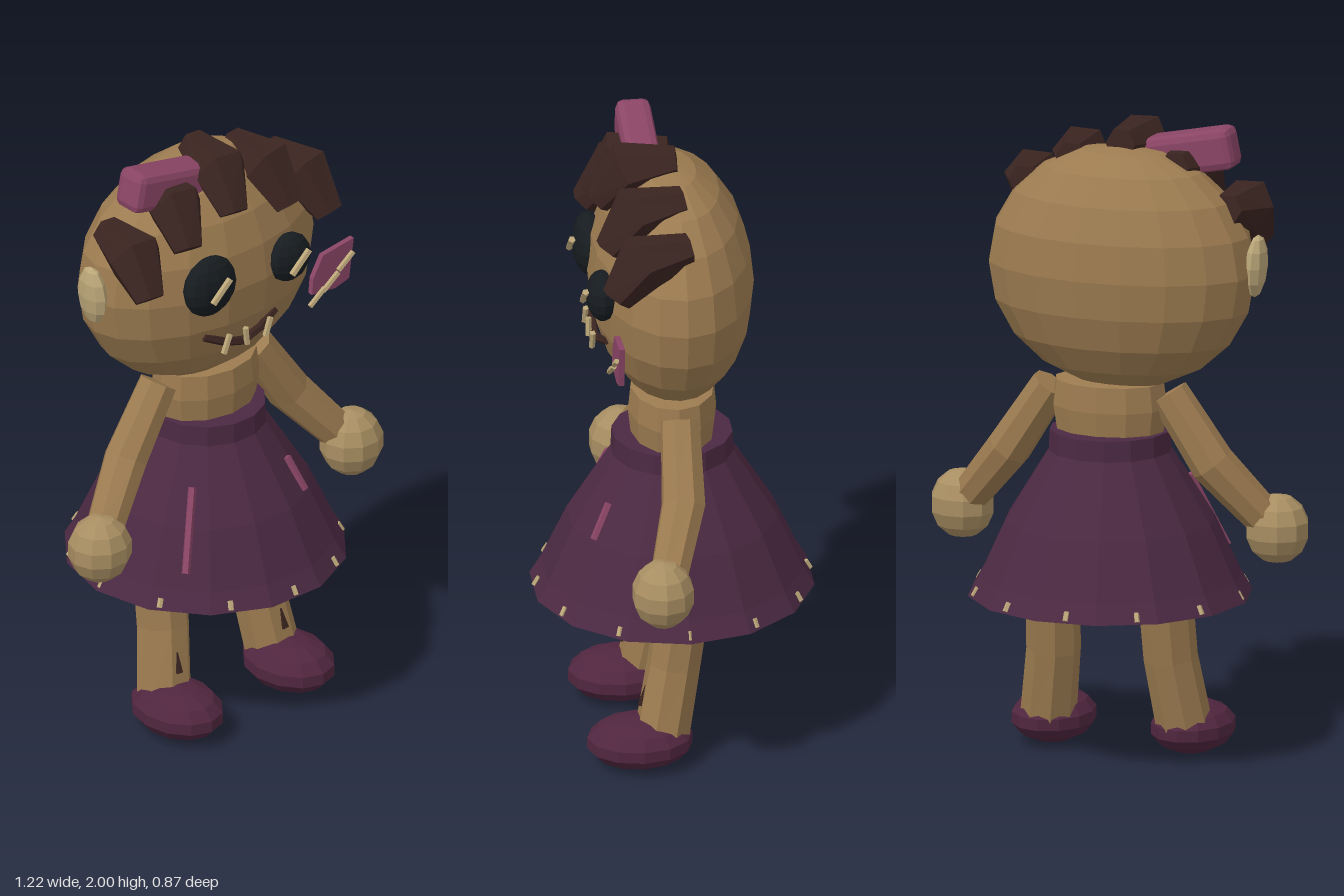
import * as THREE from 'three';
import { RoundedBoxGeometry } from 'three/addons/geometries/RoundedBoxGeometry.js';

const mat = (color) => new THREE.MeshStandardMaterial({ color, flatShading: true });
const V = (p) => new THREE.Vector3(...p);

// Closed tube through points, with one radius per point
function limbGeometry(points, radii, sides, ref = [0, 0, 1]) {
  const c = points.map(V), pos = [], idx = [], n = c.length;
  c.forEach((p, i) => {
    const t = c[Math.min(i + 1, n - 1)].clone().sub(c[Math.max(i - 1, 0)]).normalize();
    const u = V(ref).cross(t).normalize(), v = t.clone().cross(u);
    for (let j = 0; j < sides; j++) {
      const a = ((j + 0.5) / sides) * Math.PI * 2;
      const q = p.clone().addScaledVector(u, radii[i] * Math.cos(a)).addScaledVector(v, radii[i] * Math.sin(a));
      pos.push(q.x, q.y, q.z);
    }
  });
  for (let j = 0; j < sides; j++) {
    const k = (j + 1) % sides;
    for (let i = 0; i < n - 1; i++) {
      const a = i * sides + j, b = i * sides + k;
      idx.push(a, b, b + sides, a, b + sides, a + sides);
    }
    const s = n * sides, e = (n - 1) * sides;
    idx.push(s, k, j, s + 1, e + j, e + k);
  }
  pos.push(...c[0].toArray(), ...c[n - 1].toArray());
  const g = new THREE.BufferGeometry();
  g.setAttribute('position', new THREE.Float32BufferAttribute(pos, 3));
  g.setIndex(idx);
  g.computeVertexNormals();
  return g;
}

export function createModel() {
  const doll = new THREE.Group();
  doll.name = 'ragDoll';
  const skin = mat(0x9c7b50), pale = mat(0xa88e62), cream = mat(0xbba678);
  const dress = mat(0x4b2942), shoe = mat(0x50263f), hair = mat(0x3a2420);
  const pink = mat(0x8a4565), black = mat(0x171c20);

  const add = (name, geometry, material, position = [0, 0, 0]) => {
    const m = new THREE.Mesh(geometry, material);
    m.name = name;
    m.position.set(...position);
    doll.add(m);
    return m;
  };
  const ball = (name, material, center, radii, w = 12, h = 8) =>
    add(name, new THREE.SphereGeometry(1, w, h).scale(...radii), material, center);
  const rod = (name, material, a, b, r) => add(name, limbGeometry([a, b], [r, r], 5), material);

  // Head and neck
  ball('head', skin, [-0.04, 1.552, 0], [0.43, 0.383, 0.253], 18, 10);
  const neck = [[0, 0.98], [0.165, 0.98], [0.185, 1.11], [0.175, 1.19], [0, 1.2]].map((p) => new THREE.Vector2(...p));
  add('neck', new THREE.LatheGeometry(neck, 12).scale(1, 1, 0.74), skin);
  ball('earPatch', cream, [-0.47, 1.58, 0.015], [0.033, 0.1, 0.06], 8, 6).rotation.z = 0.06;

  // Button eyes, each with a slanted thread
  for (const [x, y, r] of [[-0.185, 1.6, 0.1], [0.135, 1.585, 0.08]]) {
    ball('buttonEye', black, [x, y, 0.235], [r, r, 0.05], 12, 8);
    rod('eyeThread', cream, [x - 0.033, y - 0.03, 0.29], [x + 0.036, y + 0.034, 0.29], 0.011);
  }

  // Stitched mouth
  add('mouth', limbGeometry([[-0.19, 1.41, 0.215], [-0.12, 1.378, 0.235], [-0.05, 1.357, 0.235],
    [0.02, 1.378, 0.235], [0.095, 1.405, 0.215]], [0.013, 0.014, 0.015, 0.014, 0.013], 5), hair);
  for (const [x, tilt] of [[-0.13, 0.012], [-0.05, -0.003], [0.037, 0.01]])
    rod('mouthStitch', cream, [x - tilt, 1.352, 0.252], [x + tilt, 1.41, 0.252], 0.01);

  // Cheek patch with loose stitches
  const patch = new THREE.Shape([[0.25, 1.455], [0.245, 1.4], [0.34, 1.39], [0.395, 1.405], [0.414, 1.54], [0.29, 1.523]]
    .map((p) => new THREE.Vector2(...p)));
  add('cheekPatch', new THREE.ExtrudeGeometry(patch, { depth: 0.018, bevelEnabled: false }), pink, [0, 0, 0.2]);
  for (const [x, y] of [[0.26, 1.39], [0.315, 1.425], [0.375, 1.475]])
    rod('cheekStitch', cream, [x - 0.03, y - 0.022, 0.225], [x + 0.03, y + 0.022, 0.225], 0.009);

  // Chunky fringe: root x, tip x and top height of each tuft
  for (const [x0, x1, top] of [[-0.385, -0.41, 1.82], [-0.215, -0.255, 1.94], [-0.04, -0.07, 2.0], [0.12, 0.155, 1.945], [0.27, 0.315, 1.86]])
    add('hairTuft', limbGeometry([[x0, top - 0.06, -0.02], [(x0 + x1) / 2, top - 0.082, 0.13], [x1, top - 0.195, 0.215]],
      [0.05, 0.092, 0.05], 6, [1, 0, 0]), hair);

  // Hair clip
  add('hairClip', new RoundedBoxGeometry(0.29, 0.13, 0.11, 1, 0.025), pink, [-0.24, 1.91, 0.075]).rotation.z = -0.2;

  // Skirt with a closed underside
  const skirt = [[0, 0.515], [0.44, 0.515], [0.405, 0.575], [0.325, 0.75], [0.19, 0.97], [0.187, 1.035], [0, 1.035]]
    .map((p) => new THREE.Vector2(...p));
  add('skirt', new THREE.LatheGeometry(skirt, 14, Math.PI / 14), dress);
  for (let i = 0; i < 12; i++) {
    const a = (i / 12) * Math.PI * 2, s = Math.sin(a), c = Math.cos(a);
    rod('hemStitch', cream, [s * 0.428, 0.522, c * 0.428], [s * 0.413, 0.548, c * 0.413], 0.009);
  }
  rod('skirtMend', pink, [-0.2, 0.865, 0.17], [-0.295, 0.63, 0.25], 0.014);
  rod('skirtMend', pink, [0.145, 0.865, 0.215], [0.175, 0.76, 0.265], 0.012);

  for (const s of [-1, 1]) {
    // Arms and mitten hands
    add('arm', limbGeometry([[s * 0.19, 1.16, 0], [s * 0.33, 0.945, 0.008], [s * 0.48, 0.765, 0.075]],
      [0.062, 0.07, 0.06], 8), skin);
    ball('hand', pale, [s * 0.51, 0.735, 0.095], [0.103, 0.11, 0.098], 10, 7);
    // Legs, shoes and ankle mends
    add('leg', limbGeometry([[s * 0.18, 0.6, -0.02], [s * 0.19, 0.32, 0.02], [s * 0.22, 0.1, 0.06]],
      [0.085, 0.084, 0.087], 8), skin);
    ball('shoe', shoe, [s * 0.226, 0.081, 0.13], [0.13, 0.081, 0.167], 12, 7);
    add('ankleMend', limbGeometry([[s * 0.215, 0.195, 0.122], [s * 0.21, 0.26, 0.108]], [0.015, 0.004], 4), hair);
  }
  return doll;
}
